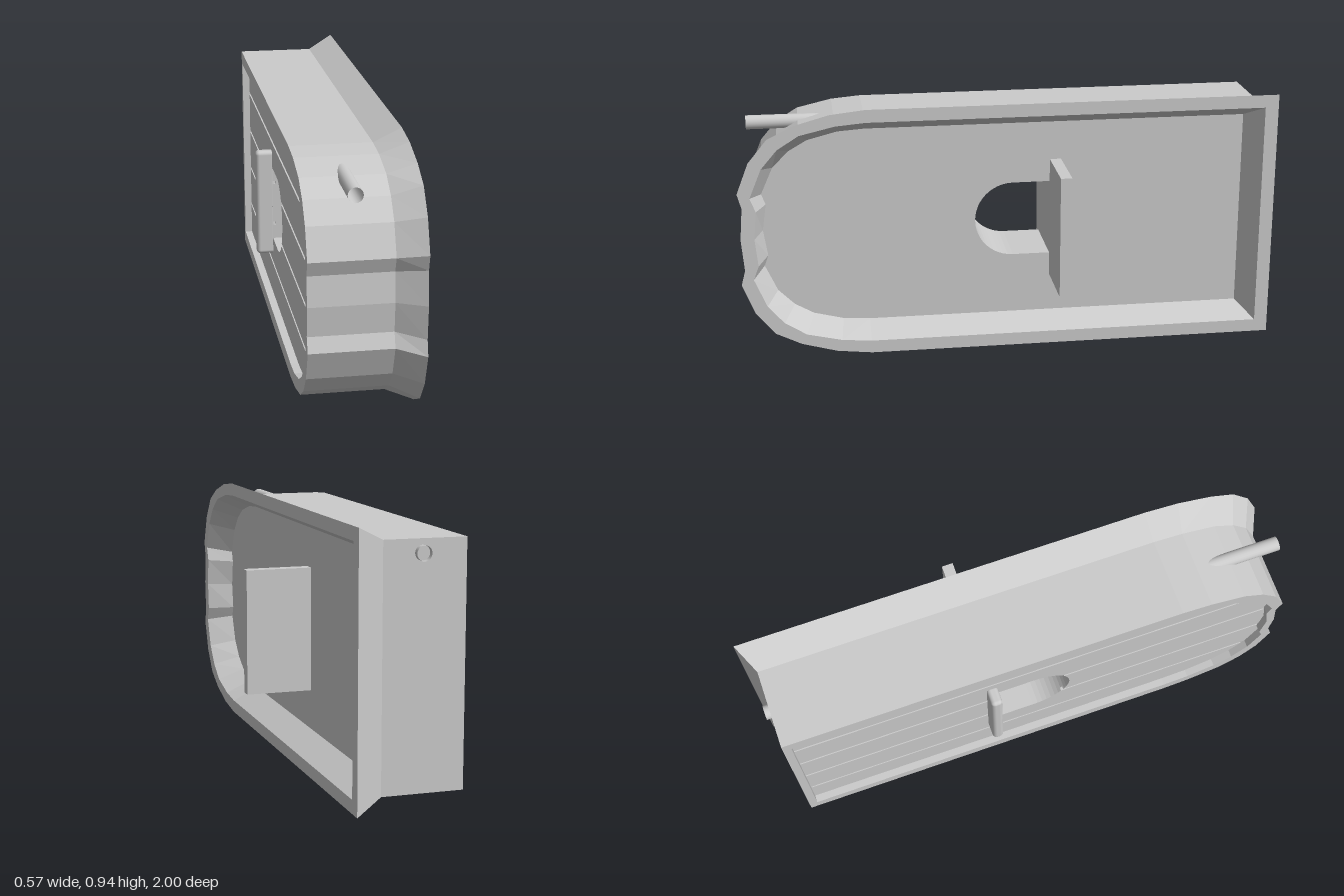
import * as THREE from 'three';
import { RoundedBoxGeometry } from 'three/addons/geometries/RoundedBoxGeometry.js';

const MID = 0.4725; // height of the horizontal symmetry line

// Closed outline in (-z, y), from half a nose profile of [z, height above MID]
function outline(half, endZ) {
  const top = half[half.length - 1][1];
  const upper = half.map(([z, h]) => [-z, MID + h]).reverse();
  const lower = half.slice(1).map(([z, h]) => [-z, MID - h]);
  return [[-endZ, MID - top], [-endZ, MID + top], ...upper, ...lower];
}

const flareHalf = [[0.995, 0], [0.985, 0.12], [1, 0.175], [0.955, 0.29], [0.885, 0.375], [0.79, 0.422], [0.66, 0.458], [0.53, 0.4725]];
const bodyHalf = [[0.945, 0], [0.935, 0.105], [0.955, 0.157], [0.91, 0.265], [0.85, 0.335], [0.77, 0.385], [0.64, 0.415], [0.53, 0.4245]];
const floorHalf = [[0.915, 0], [0.9, 0.1], [0.915, 0.14], [0.87, 0.24], [0.81, 0.3], [0.74, 0.34], [0.63, 0.368], [0.53, 0.375]];

// Joins rings of [outline, x] into a flat-faced skin
function loft(rings) {
  const pos = [];
  for (let r = 0; r < rings.length - 1; r++) {
    const [A, xa] = rings[r], [B, xb] = rings[r + 1];
    for (let i = 0; i < A.length; i++) {
      const j = (i + 1) % A.length;
      const a = [xa, A[i][1], -A[i][0]], b = [xa, A[j][1], -A[j][0]];
      const c = [xb, B[j][1], -B[j][0]], d = [xb, B[i][1], -B[i][0]];
      pos.push(...a, ...b, ...c, ...a, ...c, ...d);
    }
  }
  const g = new THREE.BufferGeometry();
  g.setAttribute('position', new THREE.Float32BufferAttribute(pos, 3));
  g.computeVertexNormals();
  return g;
}

const toShape = (pts) => new THREE.Shape(pts.map(([u, v]) => new THREE.Vector2(u, v)));

// Extrudes a (-z, y) shape along x between two positions
function plate(shape, x0, x1) {
  const g = new THREE.ExtrudeGeometry(shape, { depth: x1 - x0, bevelEnabled: false });
  return g.rotateY(Math.PI / 2).translate(x0, 0, 0);
}

// Keeps the part of a polygon on one side of a line across the given axis
function clip(pts, axis, limit, sign) {
  const out = [];
  pts.forEach((p, i) => {
    const q = pts[(i + 1) % pts.length];
    const dp = sign * (p[axis] - limit), dq = sign * (q[axis] - limit);
    if (dp >= 0) out.push(p);
    if (dp * dq < 0) {
      const t = dp / (dp - dq);
      out.push([p[0] + (q[0] - p[0]) * t, p[1] + (q[1] - p[1]) * t]);
    }
  });
  return out;
}

export function createModel() {
  const group = new THREE.Group();
  const flat = new THREE.MeshStandardMaterial({ color: 0xcccccc, flatShading: true });
  const smooth = new THREE.MeshStandardMaterial({ color: 0xcccccc });
  const open = new THREE.MeshStandardMaterial({ color: 0xcccccc, side: THREE.DoubleSide });
  const add = (name, geometry, material = flat) => {
    const m = new THREE.Mesh(geometry, material);
    m.name = name;
    group.add(m);
    return m;
  };

  const flare = outline(flareHalf, -1);
  const body = outline(bodyHalf, -0.95);
  const frontFloor = outline(floorHalf, -0.895);
  const backFloor = outline(floorHalf, -0.92);

  // Outer shell with flared rim on one side and a shallow recess on the other
  add('shell', loft([
    [backFloor, -0.2], [backFloor, -0.25], [body, -0.25], [body, 0.04],
    [flare, 0.14], [body, 0.14], [frontFloor, 0.04],
  ]));

  // D-shaped opening, cut straight where the slab stands
  const cutU = 0.158, radius = 0.143, arcU = 0.018;
  const arc = [];
  for (let i = 0; i <= 24; i++) {
    const a = Math.PI / 2 + (i / 24) * Math.PI;
    arc.push([arcU + radius * Math.cos(a), MID + radius * Math.sin(a)]);
  }
  const notch = [[cutU, MID + radius], ...arc, [cutU, MID - radius]];

  // Solid core between the two recesses
  const coreShape = toShape(backFloor);
  coreShape.holes.push(new THREE.Path(notch.map(([u, v]) => new THREE.Vector2(u, v))));
  add('core', plate(coreShape, -0.21, 0.04), smooth);

  // Planks with narrow grooves, split at the straight side of the opening
  const rear = clip(backFloor, 0, cutU, 1);
  const nose = [...clip(backFloor.slice(2), 0, cutU, -1)];
  const fore = [[cutU, MID + 0.375], ...nose, [cutU, MID - 0.375], ...notch.slice().reverse()];
  const pitch = 0.165, groove = 0.006;
  const planks = new THREE.Group();
  planks.name = 'planks';
  group.add(planks);
  for (let i = -2; i <= 2; i++) {
    const low = i === -2 ? 0 : MID + (i - 0.5) * pitch + groove;
    const high = i === 2 ? 1 : MID + (i + 0.5) * pitch - groove;
    for (const part of [rear, fore]) {
      const strip = clip(clip(part, 1, low, 1), 1, high, -1);
      const m = new THREE.Mesh(plate(toShape(strip), -0.222, -0.21), smooth);
      m.name = 'plank';
      planks.add(m);
    }
  }

  // Upright slab inside the flared recess
  add('slab', new THREE.BoxGeometry(0.263, 0.458, 0.042)).position.set(0.152, MID, -0.179);

  // Rounded handle bar on the planked side
  add('handleBar', new RoundedBoxGeometry(0.075, 0.415, 0.042, 3, 0.015), smooth)
    .position.set(-0.2475, MID, -0.179);

  // Open tube running through the body near the top
  const tube = add('pinTube', new THREE.CylinderGeometry(0.026, 0.026, 1.93, 20, 1, true).rotateX(Math.PI / 2), open);
  tube.position.set(-0.095, 0.85, -0.005);

  return group;
}
